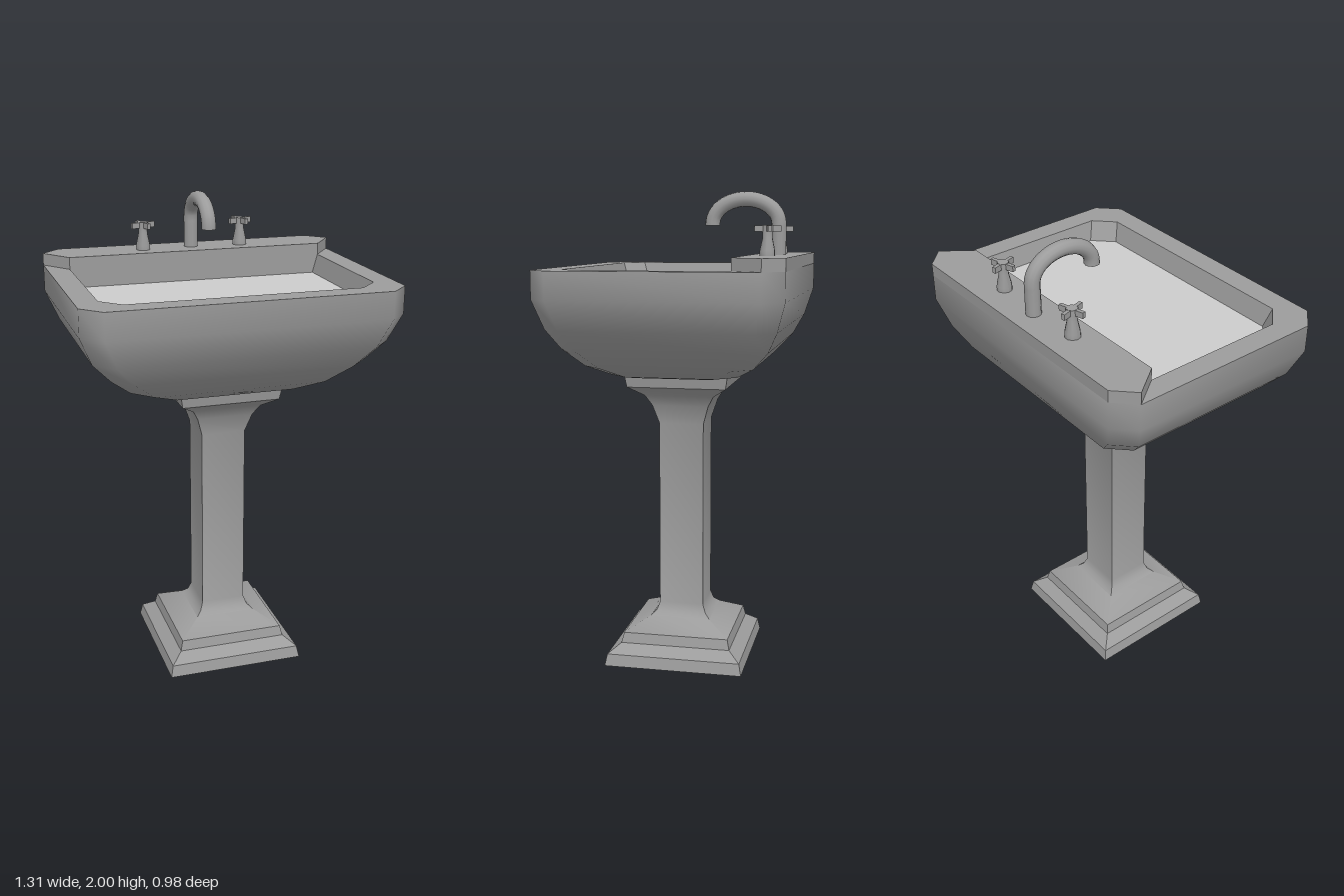
import * as THREE from 'three';
import { toCreasedNormals } from 'three/addons/utils/BufferGeometryUtils.js';

const body = new THREE.MeshStandardMaterial({ color: 0x9c9c9c });
const pale = new THREE.MeshStandardMaterial({ color: 0xcccccc });

// Rectangle ring with cut corners, running from +x towards +z
function ring(y, hx, z0, z1, cutBack, cutFront) {
  return [
    [hx, z0 + cutBack], [hx, z1 - cutFront], [hx - cutFront, z1], [-hx + cutFront, z1],
    [-hx, z1 - cutFront], [-hx, z0 + cutBack], [-hx + cutBack, z0], [hx - cutBack, z0],
  ].map(([x, z]) => new THREE.Vector3(x, y, z));
}

const square = (y, h) =>
  [[h, -h], [h, h], [-h, h], [-h, -h]].map(([x, z]) => new THREE.Vector3(x, y, z));

// Skin over successive rings, optionally closed at the first and last one
function loft(rings, crease, capStart = false, capEnd = false) {
  const n = rings[0].length;
  const pos = [];
  const tri = (...pts) => pts.forEach((p) => pos.push(p.x, p.y, p.z));
  for (let r = 0; r + 1 < rings.length; r++) {
    for (let i = 0; i < n; i++) {
      const j = (i + 1) % n;
      const [a, b, c, d] = [rings[r][i], rings[r][j], rings[r + 1][j], rings[r + 1][i]];
      tri(a, d, c);
      tri(a, c, b);
    }
  }
  const first = rings[0], last = rings[rings.length - 1];
  for (let i = 1; i + 1 < n; i++) {
    if (capStart) tri(first[0], first[i], first[i + 1]);
    if (capEnd) tri(last[0], last[i + 1], last[i]);
  }
  const geo = new THREE.BufferGeometry();
  geo.setAttribute('position', new THREE.Float32BufferAttribute(pos, 3));
  return toCreasedNormals(geo, crease);
}

function add(parent, name, geo, material = body) {
  const mesh = new THREE.Mesh(geo, material);
  mesh.name = name;
  parent.add(mesh);
  return mesh;
}

// Cross tap: tapered stem, hub and four arms
function tap(name, x) {
  const g = new THREE.Group();
  g.name = name;
  g.position.set(x, 1.74, -0.375);
  g.rotation.y = 0.29;
  const stem = [[0.031, 0], [0.031, 0.02], [0.02, 0.07], [0.02, 0.095]]
    .map(([r, y]) => new THREE.Vector2(r, y));
  add(g, 'tapStem', toCreasedNormals(new THREE.LatheGeometry(stem, 10), 0.7));
  const hub = new THREE.CylinderGeometry(0.023, 0.023, 0.026, 8);
  hub.translate(0, 0.106, 0);
  add(g, 'tapHub', toCreasedNormals(hub, 0.9));
  for (let i = 0; i < 4; i++) {
    const arm = new THREE.BoxGeometry(0.04, 0.024, 0.015);
    arm.translate(0.034, 0.106, 0);
    add(g, 'tapArm', arm).rotation.y = i * Math.PI / 2;
  }
  return g;
}

export function createModel() {
  const model = new THREE.Group();
  model.name = 'pedestalSink';

  // Stepped foot, square column, coved neck and top band: [height, half width]
  const column = [
    [0, 0.295], [0.05, 0.285], [0.087, 0.235], [0.13, 0.225], [0.18, 0.13], [0.2, 0.108], [0.235, 0.095],
    [1.03, 0.095], [1.11, 0.12], [1.155, 0.146], [1.197, 0.208], [1.25, 0.217],
  ];
  add(model, 'pedestal', loft(column.map(([y, h]) => square(y, h)), 0.7, true, true));

  // Rounded outside of the bowl: [height, half width, half depth]
  const shell = [
    [1.247, 0.29, 0.23], [1.254, 0.325, 0.265], [1.3, 0.434, 0.342], [1.376, 0.524, 0.412],
    [1.46, 0.602, 0.455], [1.577, 0.653, 0.49], [1.69, 0.653, 0.49],
  ];
  add(model, 'bowl', loft(shell.map(([y, x, z]) => ring(y, x, -z, z, 0.08, 0.08)), 0.9, true));

  // Flat rim and sloping inner walls
  const floor = ring(1.61, 0.538, -0.285, 0.37, 0, 0.08);
  add(model, 'rim', loft([
    ring(1.69, 0.653, -0.49, 0.49, 0.08, 0.08),
    ring(1.69, 0.56, -0.285, 0.395, 0, 0.08),
    floor,
  ], 0.5));

  // Pale surface inside the basin
  add(model, 'basinFloor', loft([floor], 0.5, false, true), pale);

  // Raised ledge along the back
  const outline = [[-0.573, 0.49], [-0.653, 0.41], [-0.56, 0.285], [0.56, 0.285], [0.653, 0.41], [0.573, 0.49]]
    .map(([x, y]) => new THREE.Vector2(x, y));
  const ledge = new THREE.ExtrudeGeometry(new THREE.Shape(outline), { depth: 0.05, bevelEnabled: false });
  ledge.rotateX(-Math.PI / 2).translate(0, 1.69, 0);
  add(model, 'backLedge', ledge);

  // Swan-neck spout: straight riser, flattened half loop and level tip
  const path = [1.72, 1.79, 1.84].map((y) => new THREE.Vector3(0, y, -0.393));
  for (let i = 0; i <= 12; i++) {
    const a = (i / 12) * Math.PI;
    path.push(new THREE.Vector3(0, 1.867 + 0.1 * Math.sin(a), -0.254 - 0.139 * Math.cos(a)));
  }
  path.push(new THREE.Vector3(0, 1.859, -0.115));
  const curve = new THREE.CatmullRomCurve3(path);
  add(model, 'spout', new THREE.TubeGeometry(curve, 36, 0.031, 12));
  const tip = add(model, 'spoutTip', new THREE.CircleGeometry(0.031, 12));
  tip.position.copy(curve.getPoint(1));
  tip.rotation.x = Math.PI / 2;

  // Pair of taps
  model.add(tap('leftTap', 0.22), tap('rightTap', -0.22));
  return model;
}
